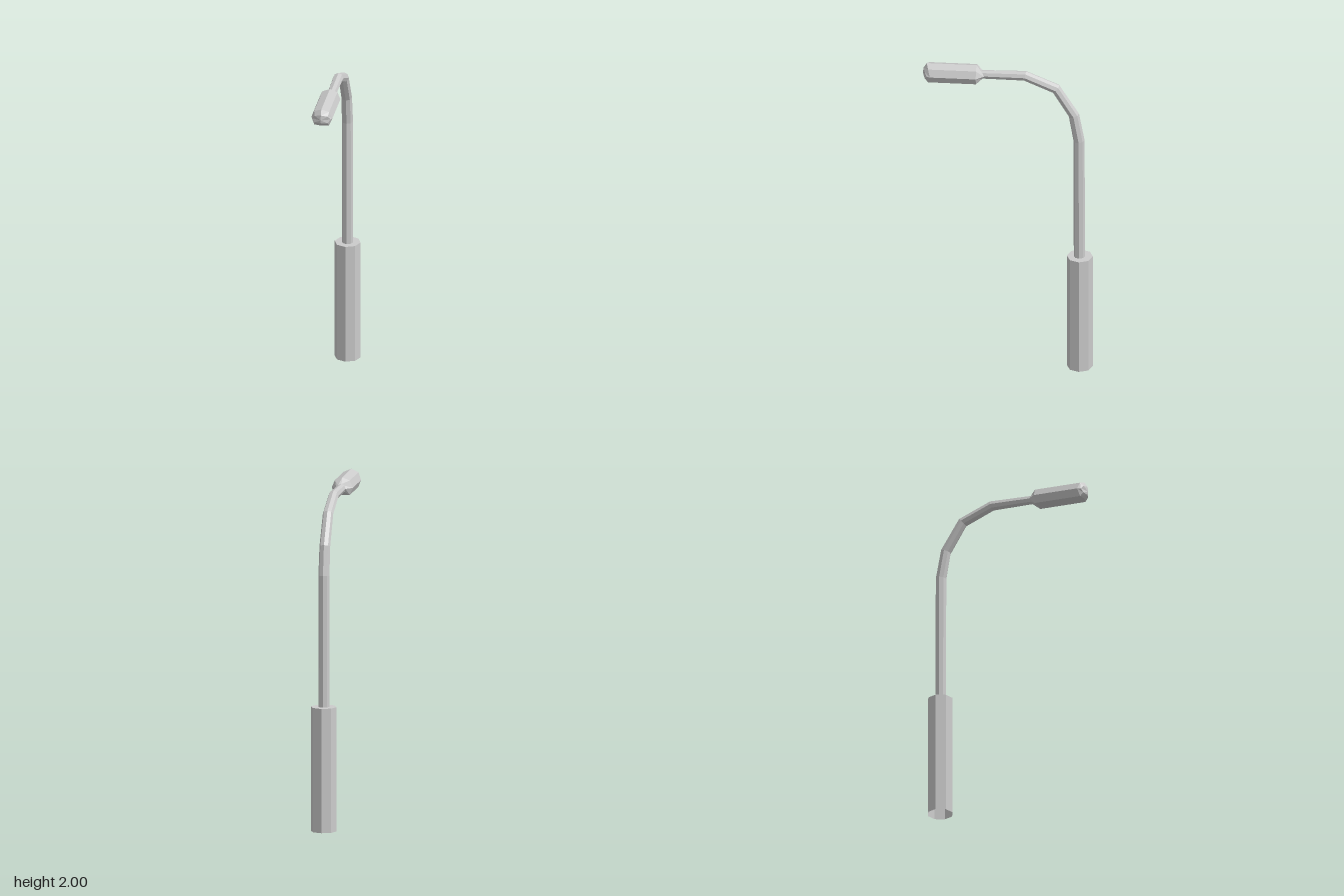
import * as THREE from 'three';

const SIDES = 8;

// Skins a list of equal rings of points; optional fan to a tip point.
function loft(rings, tip) {
  const positions = rings.flat().flatMap((p) => [p.x, p.y, p.z]);
  const index = [];
  for (let i = 0; i < rings.length - 1; i++) {
    for (let j = 0; j < SIDES; j++) {
      const k = (j + 1) % SIDES;
      const a = i * SIDES + j, b = i * SIDES + k;
      index.push(a, b, b + SIDES, a, b + SIDES, a + SIDES);
    }
  }
  if (tip) {
    const last = (rings.length - 1) * SIDES, t = rings.length * SIDES;
    positions.push(tip.x, tip.y, tip.z);
    for (let j = 0; j < SIDES; j++) index.push(last + j, last + ((j + 1) % SIDES), t);
  }
  const geometry = new THREE.BufferGeometry();
  geometry.setAttribute('position', new THREE.Float32BufferAttribute(positions, 3));
  geometry.setIndex(index);
  geometry.computeVertexNormals();
  return geometry;
}

// One octagon ring, given a function from (cos, sin) to a point.
const ring = (place) => Array.from({ length: SIDES }, (_, j) => {
  const a = (j / SIDES) * Math.PI * 2;
  return place(Math.cos(a), Math.sin(a));
});

export function createModel() {
  const group = new THREE.Group();
  const material = new THREE.MeshStandardMaterial({
    color: 0xcccccc, flatShading: true, side: THREE.DoubleSide,
  });
  const add = (name, geometry) => {
    const mesh = new THREE.Mesh(geometry, material);
    mesh.name = name;
    group.add(mesh);
    return mesh;
  };
  const poleZ = -0.42;

  // Hollow octagonal base with a closed top
  add('base', new THREE.CylinderGeometry(0.077, 0.077, 0.74, SIDES, 1, true))
    .position.set(0, 0.37, -0.423);
  const cap = add('baseTop', new THREE.CircleGeometry(0.077, SIDES));
  cap.rotation.x = -Math.PI / 2;
  cap.position.set(0, 0.74, -0.423);

  // Curved pole: y, z, radius along the path
  const path = [
    [0.74, poleZ, 0.033], [1.52, poleZ + 0.002, 0.033], [1.69, -0.388, 0.032],
    [1.863, -0.283, 0.031], [1.942, -0.1, 0.03], [1.94, 0.16, 0.026],
  ];
  const direction = (a, b) => new THREE.Vector2(b[0] - a[0], b[1] - a[1]).normalize();
  add('pole', loft(path.map(([y, z, r], i) => {
    const before = direction(path[Math.max(i - 1, 0)], path[Math.max(i, 1)]);
    const after = i < path.length - 1 ? direction(path[i], path[i + 1]) : before;
    const t = before.clone().add(after).normalize();
    return ring((c, s) => new THREE.Vector3(c * r, y + s * r * t.y, z - s * r * t.x));
  })));

  // Lamp head: z at the sides, extra z at the middle, x radius, y radius
  const headY = 1.939;
  const sections = [
    [0.14, 0.018, 0.027, 0.026],
    [0.185, 0, 0.063, 0.061],
    [0.455, 0.023, 0.063, 0.061],
    [0.475, 0.022, 0.055, 0.03],
  ];
  add('lampHead', loft(sections.map(([z, bulge, rx, ry]) => ring((c, s) =>
    // The underside is cut flat
    new THREE.Vector3(c * rx, headY + Math.max(s, -0.7071) * ry, z + bulge * (1 - c * c)))),
  new THREE.Vector3(0, headY, 0.5)));

  return group;
}
